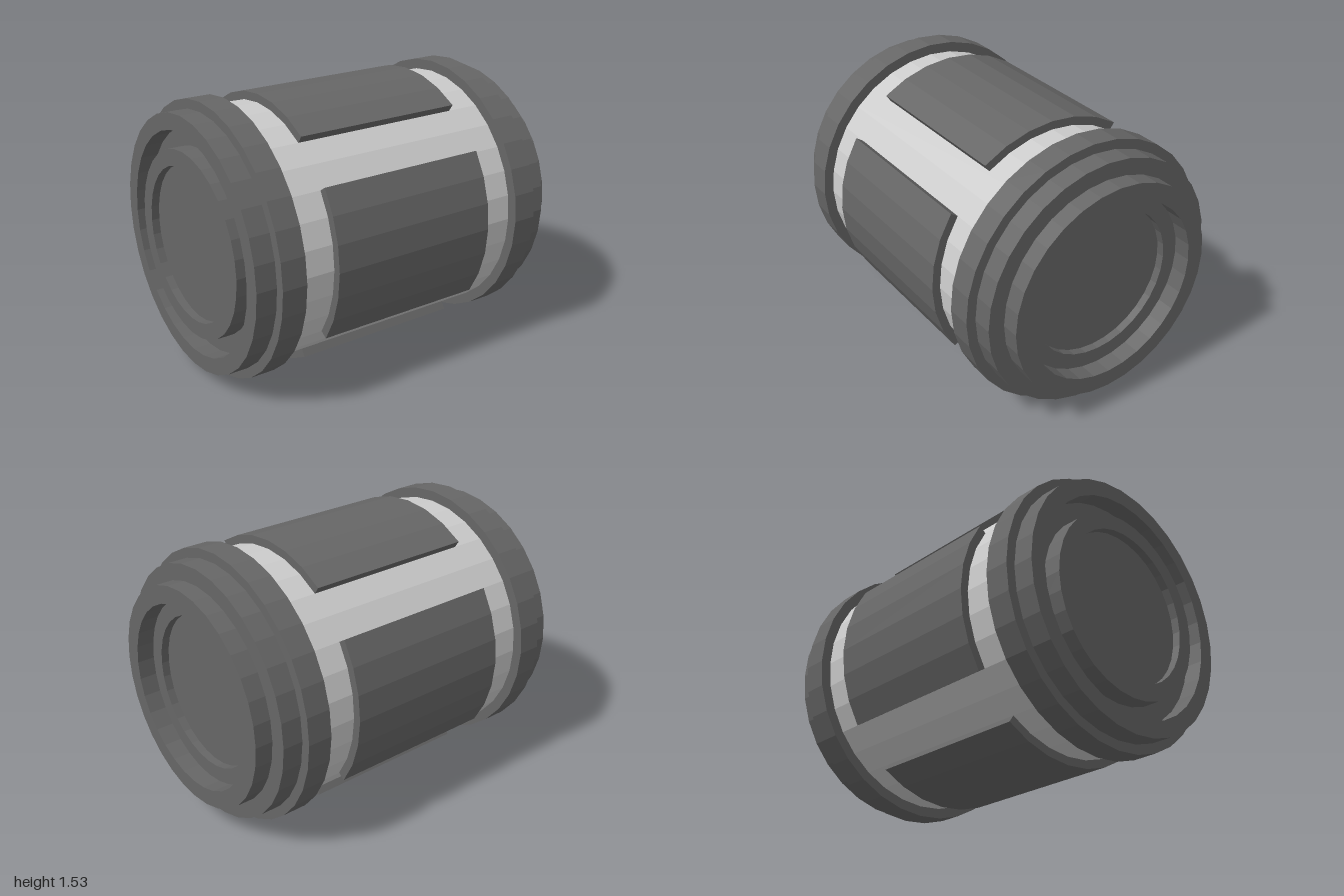
import * as THREE from 'three';

const SIDES = 32;
const AXIS_Y = 0.766;
const BODY_R = 0.708;

const light = new THREE.MeshStandardMaterial({ color: 0xcccccc, flatShading: true });
const dark = new THREE.MeshStandardMaterial({ color: 0x666666, flatShading: true });

// Faceted solid of revolution around the z axis; profile is [radius, z] with z rising on the outside
function turned(name, profile, material) {
  const points = profile.map(([r, z]) => new THREE.Vector2(r, z));
  const geometry = new THREE.LatheGeometry(points, SIDES).rotateX(Math.PI / 2).toNonIndexed();
  geometry.computeVertexNormals();
  const mesh = new THREE.Mesh(geometry, material);
  mesh.name = name;
  return mesh;
}

// Curved plate hugging the body, six facets wide
function panelGeometry(inner, outer, zBack, zFront) {
  const step = (2 * Math.PI) / SIDES;
  const points = [];
  for (let i = -3; i <= 3; i++) {
    points.push(new THREE.Vector2(outer * Math.cos(i * step), outer * Math.sin(i * step)));
  }
  for (let i = 3; i >= -3; i--) {
    points.push(new THREE.Vector2(inner * Math.cos(i * step), inner * Math.sin(i * step)));
  }
  const geometry = new THREE.ExtrudeGeometry(new THREE.Shape(points), {
    depth: zFront - zBack,
    bevelEnabled: false,
  });
  return geometry.translate(0, 0, zBack);
}

export function createModel() {
  const model = new THREE.Group();
  model.name = 'canister';

  // Light barrel between the two caps
  model.add(turned('body', [[BODY_R, -0.7], [BODY_R, 0.8]], light));

  // Front cap: flange, collar, ring groove and a dished central boss
  model.add(turned('frontCap', [
    [BODY_R, 0.745], [0.766, 0.745], [0.766, 0.885], [0.712, 0.885],
    [0.712, 1], [0.62, 1], [0.62, 0.9], [0.52, 0.9],
    [0.52, 1], [0.43, 1], [0.43, 0.955], [0, 0.955],
  ], dark));

  // Back cap: flange, two stepped collars and a stepped recess
  model.add(turned('backCap', [
    [0, -0.855], [0.43, -0.855], [0.43, -0.9], [0.52, -0.9],
    [0.52, -1], [0.62, -1], [0.62, -0.9], [0.712, -0.9],
    [0.712, -0.785], [0.766, -0.785], [0.766, -0.645], [BODY_R, -0.645],
  ], dark));

  // Four plates spaced a quarter turn apart
  const plate = panelGeometry(0.69, 0.755, -0.45, 0.545);
  ['leftPanel', 'topPanel', 'rightPanel', 'bottomPanel'].forEach((name, i) => {
    const panel = new THREE.Mesh(plate, dark);
    panel.name = name;
    panel.rotation.z = (i * Math.PI) / 2;
    model.add(panel);
  });

  model.children.forEach((part) => { part.position.y = AXIS_Y; });
  return model;
}
